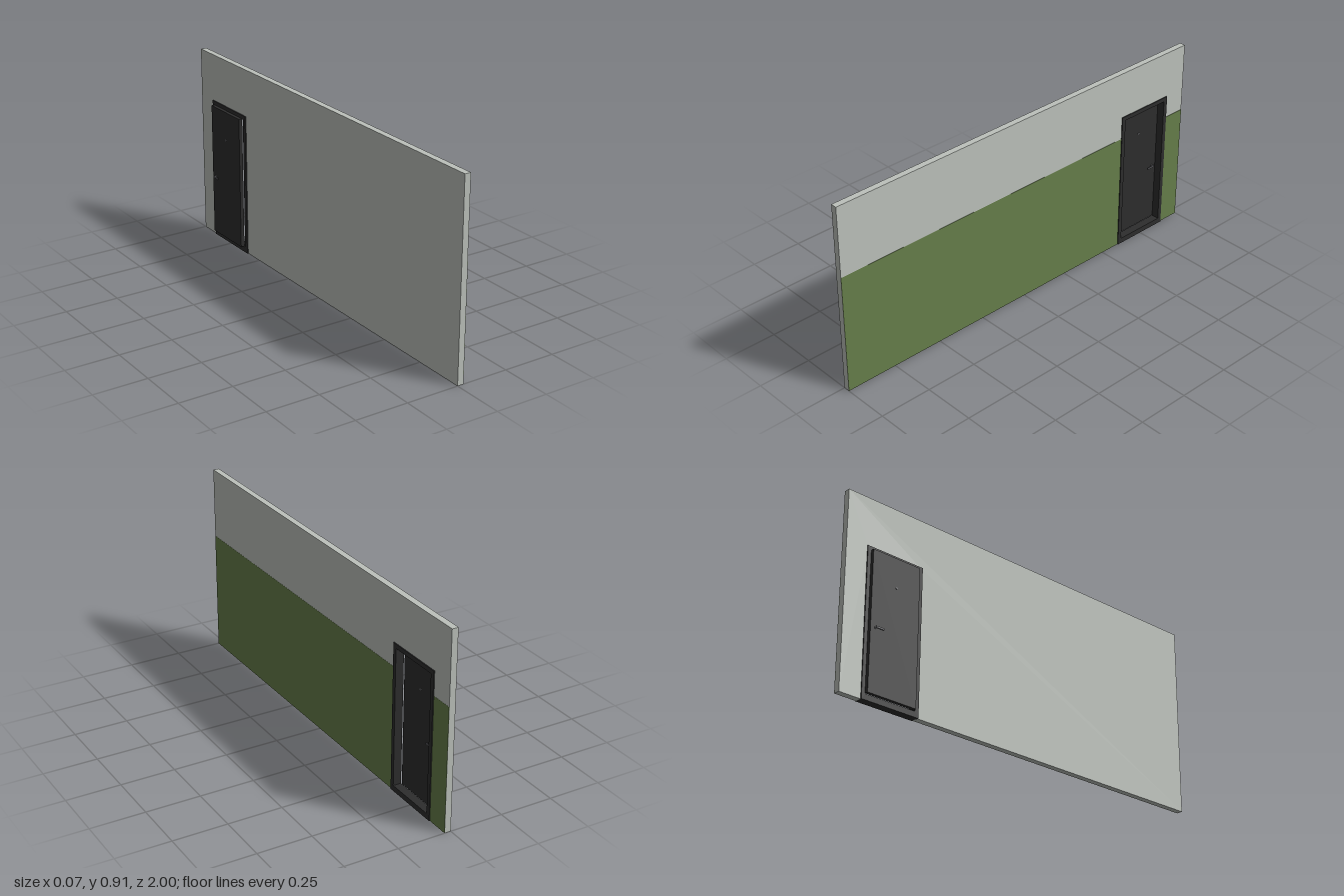
import * as THREE from 'three';

const material = (name, color, extra = {}) => {
  const m = new THREE.MeshStandardMaterial({ color, ...extra });
  m.name = name;
  return m;
};

// Extrudes an outline drawn in (-z, y) along x, from x0 to x1
function slab(name, outline, hole, x0, x1, mat) {
  const points = (list) => list.map(([u, v]) => new THREE.Vector2(u, v));
  const shape = new THREE.Shape(points(outline));
  if (hole) shape.holes.push(new THREE.Path(points(hole)));
  const geometry = new THREE.ExtrudeGeometry(shape, { depth: x1 - x0, bevelEnabled: false });
  geometry.rotateY(Math.PI / 2).translate(x0, 0, 0);
  const mesh = new THREE.Mesh(geometry, mat);
  mesh.name = name;
  return mesh;
}

const rect = (u0, u1, v0, v1) => [[u0, v0], [u1, v0], [u1, v1], [u0, v1]];

// Rectangle standing on the floor with a doorway notch
const withDoorway = (top) => top > 0.68
  ? [[-1, 0], [0.604, 0], [0.604, 0.682], [0.889, 0.682], [0.889, 0], [1, 0], [1, top], [-1, top]]
  : null;

// Round part lying along x
function disc(name, radius, length, x, y, z, mat) {
  const mesh = new THREE.Mesh(new THREE.CylinderGeometry(radius, radius, length, 16), mat);
  mesh.rotation.z = Math.PI / 2;
  mesh.position.set(x, y, z);
  mesh.name = name;
  return mesh;
}

export function createModel() {
  const wallPaint = material('pale grey wall', 0xbcc1bb);
  const greenPaint = material('green paint', 0x667e4a);
  const doorPaint = material('charcoal door', 0x2d2d2d);
  const metal = material('handle metal', 0x66666a);

  const model = new THREE.Group();
  model.name = 'wallWithDoor';

  // Wall, with the lower part painted on one side
  model.add(slab('wall', withDoorway(0.911), null, 0, 0.029, wallPaint));
  model.add(slab('greenPaintLeft', rect(-1, 0.604, 0, 0.575), null, 0.029, 0.0297, greenPaint));
  model.add(slab('greenPaintRight', rect(0.889, 1, 0, 0.575), null, 0.029, 0.0297, greenPaint));

  // Frame with threshold
  model.add(slab('doorFrame', rect(0.6, 0.893, 0, 0.686),
    rect(0.62, 0.873, 0.026, 0.666), -0.005, 0.0335, doorPaint));

  // Leaf hung on the outside of the frame, leaving a slim hinge gap
  const door = new THREE.Group();
  door.name = 'door';
  const inner = -0.004, outer = -0.0215;
  door.add(slab('doorLeaf', rect(0.628, 0.876, 0.028, 0.668), null, outer, inner, doorPaint));

  // Handle and peephole on both faces
  for (const [face, dir] of [[outer, -1], [inner, 1]]) {
    const handle = new THREE.Group();
    handle.name = dir < 0 ? 'outerHandle' : 'innerHandle';
    handle.add(disc('handleRose', 0.0055, 0.002, face + dir * 0.001, 0.317, -0.85, metal));
    handle.add(disc('handleSpindle', 0.0032, 0.01, face + dir * 0.005, 0.317, -0.85, metal));
    const lever = new THREE.Mesh(new THREE.BoxGeometry(0.004, 0.008, 0.04), metal);
    lever.position.set(face + dir * 0.0105, 0.317, -0.835);
    lever.name = 'handleLever';
    handle.add(lever);
    door.add(handle);
    door.add(disc('peephole', 0.0048, 0.0025, face + dir * 0.00125, 0.53, -0.75, metal));
  }
  model.add(door);
  return model;
}
